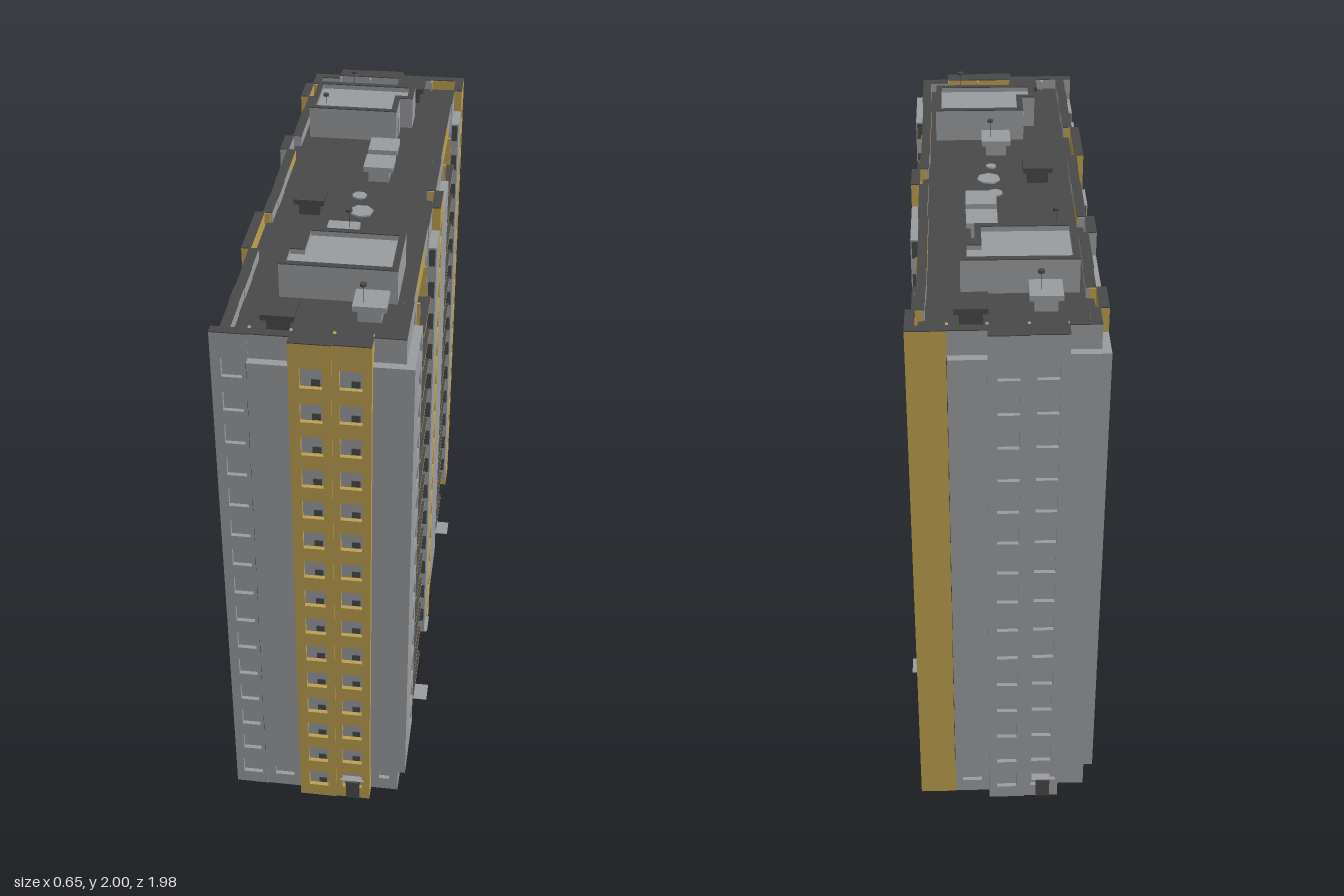
import * as THREE from 'three';

const material = (name, color) => new THREE.MeshStandardMaterial({ name, color, side: THREE.DoubleSide });
const grey = material('concrete grey', 0x9a9da0);
const gold = material('ochre facade', 0xbea050);
const dark = material('dark roofing', 0x494949);

const TOP = 1.865, FLOOR = 0.119, WIN = 0.066, STEP = 0.027;
const floorY = (i) => 0.083 + i * FLOOR; // window centre of each storey

function box(parent, name, mat, x0, x1, y0, y1, z0, z1) {
  const m = new THREE.Mesh(new THREE.BoxGeometry(x1 - x0, y1 - y0, z1 - z0), mat);
  m.position.set((x0 + x1) / 2, (y0 + y1) / 2, (z0 + z1) / 2);
  m.name = name;
  parent.add(m);
}

function rect(path, x0, x1, y0, y1) {
  path.moveTo(x0, y0);
  path.lineTo(x1, y0);
  path.lineTo(x1, y1);
  path.lineTo(x0, y1);
  path.closePath();
  return path;
}

// Wall slab with true window openings and set-back panes
function panel(g, mat, u0, u1, y0, y1, d, wins = []) {
  const shape = rect(new THREE.Shape(), u0, u1, y0, y1);
  for (const [u, y] of wins) {
    const a = [u - WIN / 2, u + WIN / 2, y - WIN / 2, y + WIN / 2];
    shape.holes.push(rect(new THREE.Path(), ...a));
    box(g, 'windowPane', grey, ...a, d - 0.02, d - 0.014);
    if (mat === gold) box(g, 'windowShade', dark, u, u + 0.026, y - 0.03, y - 0.008, d - 0.014, d - 0.012);
  }
  const inner = Math.min(d, 0) - 0.03;
  const geo = new THREE.ExtrudeGeometry(shape, { depth: d - inner, bevelEnabled: false });
  geo.translate(0, 0, inner);
  const m = new THREE.Mesh(geo, mat);
  m.name = 'wallPanel';
  g.add(m);
  if (y1 === TOP) box(g, 'parapetCap', dark, u0, u1, TOP, TOP + 0.003, inner, d);
}

// Short side walls linking a bay to deeper neighbours
function returns(g, mat, u0, u1, d, ends) {
  if (u0 !== ends[0]) box(g, 'sideReturn', mat, u0, u0 + 0.004, 0, TOP, -0.05, d);
  if (u1 !== ends[1]) box(g, 'sideReturn', mat, u1 - 0.004, u1, 0, TOP, -0.05, d);
}

// Wall bay running the full height
function plainBay(g, { u0, u1, d, mat, cols, ends }) {
  const wins = cols.flatMap((u) => Array.from({ length: 15 }, (_, i) => [u, floorY(i)]));
  panel(g, mat, u0, u1, 0, TOP, d, wins);
  returns(g, mat, u0, u1, d, ends);
}

// Bay whose middle stands proud of its plinth and top band
function proudBay(g, { u0, u1, d, mat, cols, ends }) {
  const n = Math.max(1, Math.round((u1 - u0) / 0.12));
  const ground = cols.length ? cols : Array.from({ length: n }, (_, i) => u0 + (i + 0.5) * (u1 - u0) / n);
  const a = u0 === ends[0] ? u0 + STEP : u0, b = u1 === ends[1] ? u1 - STEP : u1;
  panel(g, mat, a, b, 0, 0.12, d - STEP, ground.map((u) => [u, floorY(0)]));
  panel(g, mat, a, b, 1.785, TOP, d - STEP);
  returns(g, mat, u0, u1, d - STEP, ends);
  const wins = cols.flatMap((u) => Array.from({ length: 14 }, (_, i) => [u, floorY(i + 1)]));
  panel(g, mat, u0, u1, 0.12, 1.785, d, wins);
  // narrow lights on the exposed sides
  for (const u of [u0, u1]) if (!ends.includes(u)) for (let i = 1; i < 15; i++)
    box(g, 'sideLight', dark, u - 0.002, u + 0.002, floorY(i) - 0.03, floorY(i) + 0.03, d - 0.024, d - 0.004);
}

// Stack of open balconies
function balconyBay(g, { u0, u1, mat }) {
  const c = (u0 + u1) / 2;
  panel(g, mat, u0, u1, 0, 0.12, -0.03, [[c + 0.06, floorY(0)]]);
  box(g, 'entranceDoor', dark, c - 0.08, c - 0.035, 0, 0.075, -0.03, -0.026);
  panel(g, mat, u0, u1, 0.12, 1.785, -0.05);
  panel(g, mat, u0, u1, 1.785, TOP, -0.03);
  for (const u of [u0, u1 - 0.008]) box(g, 'balconyFin', mat, u, u + 0.008, 0.12, 1.785, -0.05, -0.02);
  for (let i = 1; i < 15; i++) {
    const y = i * FLOOR;
    box(g, 'balconySlab', mat, u0, u1, y, y + 0.012, -0.05, -0.005);
    box(g, 'balconyFloor', dark, u0, u1, y + 0.012, y + 0.014, -0.05, -0.005);
    for (const s of [-1, 1]) {
      const u = c + s * 0.078;
      box(g, 'balconyDoor', dark, u - 0.02, u + 0.02, y + 0.014, y + 0.055, -0.05, -0.047);
      box(g, 'balconyWindow', grey, u - 0.02, u + 0.02, y + 0.055, y + 0.088, -0.05, -0.047);
    }
  }
}

// Each bay: start, end, offset, colour, window columns, builder
function facade(name, angle, plane, bays) {
  const g = new THREE.Group();
  g.name = name;
  const ends = [bays[0][0], bays[bays.length - 1][1]];
  for (const [u0, u1, d, mat, cols = [], build = plainBay] of bays) build(g, { u0, u1, d, mat, cols, ends });
  g.rotation.y = angle;
  g.position.set(Math.sin(angle) * plane, 0, Math.cos(angle) * plane);
  return g;
}

// Lift room with one notched corner and a raised rim
function liftRoom() {
  const g = new THREE.Group();
  g.name = 'liftRoom';
  const outline = (t, path) => {
    [[-0.235 + t, -0.675 + t], [0.12 - t, -0.675 + t], [0.12 - t, -0.56 - t], [0.075 - t, -0.56 - t],
      [0.075 - t, -0.44 - t], [-0.235 + t, -0.44 - t]].forEach(([x, z], i) => path[i ? 'lineTo' : 'moveTo'](x, -z));
    path.closePath();
    return path;
  };
  const prism = (part, mat, shape, y0, y1) => {
    const geo = new THREE.ExtrudeGeometry(shape, { depth: y1 - y0, bevelEnabled: false });
    geo.rotateX(-Math.PI / 2).translate(0, y0, 0);
    const m = new THREE.Mesh(geo, mat);
    m.name = part;
    g.add(m);
  };
  const ring = outline(0, new THREE.Shape());
  ring.holes.push(outline(0.02, new THREE.Path()));
  prism('liftRoomWalls', grey, outline(0, new THREE.Shape()), 1.83, 1.925);
  prism('liftRoomParapet', grey, ring, 1.925, 1.941);
  prism('liftRoomRim', dark, ring, 1.941, 1.944);
  box(g, 'liftRoomDoor', grey, 0.075, 0.079, 1.83, 1.9, -0.53, -0.49);
  return g;
}

export function createModel() {
  const model = new THREE.Group();
  model.name = 'apartmentBlock';
  const R = proudBay, B = balconyBay, P = Math.PI;

  model.add(facade('frontFacade', 0, 0.95, [
    [-0.31, -0.2, 0, grey, [-0.252]], [-0.2, -0.08, 0.025, grey, [], R],
    [-0.08, 0.045, 0.03, gold, [-0.015]], [0.045, 0.16, 0.026, gold, [0.1]],
    [0.16, 0.28, 0, grey, [], R]]));
  model.add(facade('rightFacade', P / 2, 0.28, [
    [-0.95, -0.71, 0, grey, [-0.775], R], [-0.71, -0.59, -0.03, grey, [-0.655]],
    [-0.59, -0.36, 0, gold, [], B], [-0.36, -0.24, -0.03, grey, [-0.3]],
    [-0.24, -0.12, 0, grey, [], R], [-0.12, 0, 0, gold, [-0.065]],
    [0, 0.24, 0, grey, [], R], [0.24, 0.36, -0.03, grey, [0.3]],
    [0.36, 0.59, 0, gold, [], B], [0.59, 0.71, -0.03, grey, [0.655]],
    [0.71, 0.83, 0, grey, [], R], [0.83, 0.95, 0, gold, [0.887]]]));
  model.add(facade('backFacade', P, 0.95, [
    [-0.28, -0.16, 0, gold], [-0.16, -0.045, 0.025, grey, [], R],
    [-0.045, 0.075, 0.03, grey, [0.015]], [0.075, 0.19, 0.026, grey, [0.13]],
    [0.19, 0.31, 0, grey, [], R]]));
  model.add(facade('leftFacade', -P / 2, 0.31, [
    [-0.95, -0.83, 0, grey, [], R], [-0.83, -0.71, 0, gold, [-0.77]],
    [-0.71, -0.59, -0.03, grey, [-0.65]], [-0.59, -0.36, 0, grey, [], R],
    [-0.36, -0.25, 0, grey, [-0.305]], [-0.25, -0.13, -0.025, gold, [-0.19]],
    [-0.13, 0, -0.025, grey, [-0.065]], [0, 0.12, 0, grey, [], R],
    [0.12, 0.22, -0.025, grey, [0.17]], [0.22, 0.46, 0, gold, [0.28, 0.4]],
    [0.46, 0.58, -0.025, grey, [0.52]], [0.58, 0.7, 0, grey, [], R],
    [0.7, 0.79, -0.025, grey, [0.745]], [0.79, 0.95, 0, grey, [], R]]));

  // Flat roof and pale patches
  box(model, 'roofDeck', dark, -0.275, 0.243, 1.82, 1.83, -0.917, 0.917);
  for (const [x, z, r] of [[0, 0, 0.025], [0.02, 0.11, 0.04], [0.01, 0.21, 0.018]]) {
    const m = new THREE.Mesh(new THREE.CylinderGeometry(r, r, 0.006, 7), grey);
    m.position.set(x, 1.833, z);
    m.name = 'roofPatch';
    model.add(m);
  }

  // Two lift rooms, the second turned half round
  const turned = liftRoom();
  turned.rotation.y = P;
  turned.position.x = -0.035;
  model.add(liftRoom(), turned);

  // Vent shafts with overhanging caps
  const vents = [[-0.13, -0.75, grey], [0.05, -0.285, grey], [0.05, -0.15, grey], [-0.01, 0.34, grey],
    [0.13, 0.75, grey], [0.09, -0.82, dark], [-0.145, 0.115, dark], [-0.125, 0.83, dark]];
  for (const [x, z, mat] of vents) {
    box(model, 'ventShaft', mat, x - 0.035, x + 0.035, 1.83, 1.872, z - 0.035, z + 0.035);
    box(model, 'ventCap', mat, x - 0.05, x + 0.05, 1.872, 1.89, z - 0.05, z + 0.05);
  }

  // Aerials
  for (const [x, z, y0, y1] of [[0.11, 0.775, 1.89, 1.95], [0.01, 0.33, 1.89, 1.95],
    [-0.115, -0.76, 1.89, 1.95], [-0.175, -0.445, 1.94, 1.992]]) {
    box(model, 'aerialPole', dark, x - 0.0006, x + 0.0006, y0, y1, z - 0.0006, z + 0.0006);
    const m = new THREE.Mesh(new THREE.CylinderGeometry(0.011, 0.011, 0.008, 6), dark);
    m.position.set(x, y1, z);
    m.name = 'aerialHead';
    model.add(m);
  }

  // Thin entrance canopies and doors
  for (const [x0, x1, z0, z1] of [[0.25, 0.32, -0.455, -0.38], [0.25, 0.32, 0.495, 0.57],
    [-0.33, -0.28, 0.13, 0.21], [0.25, 0.29, 0.13, 0.21], [0.06, 0.14, 0.95, 0.985], [-0.18, -0.1, -0.99, -0.95]])
    box(model, 'entranceCanopy', grey, x0, x1, 0.09, 0.091, z0, z1);
  box(model, 'frontDoor', dark, 0.078, 0.125, 0, 0.075, 0.974, 0.979);
  box(model, 'backDoor', dark, -0.162, -0.115, 0, 0.075, -0.979, -0.974);
  return model;
}
